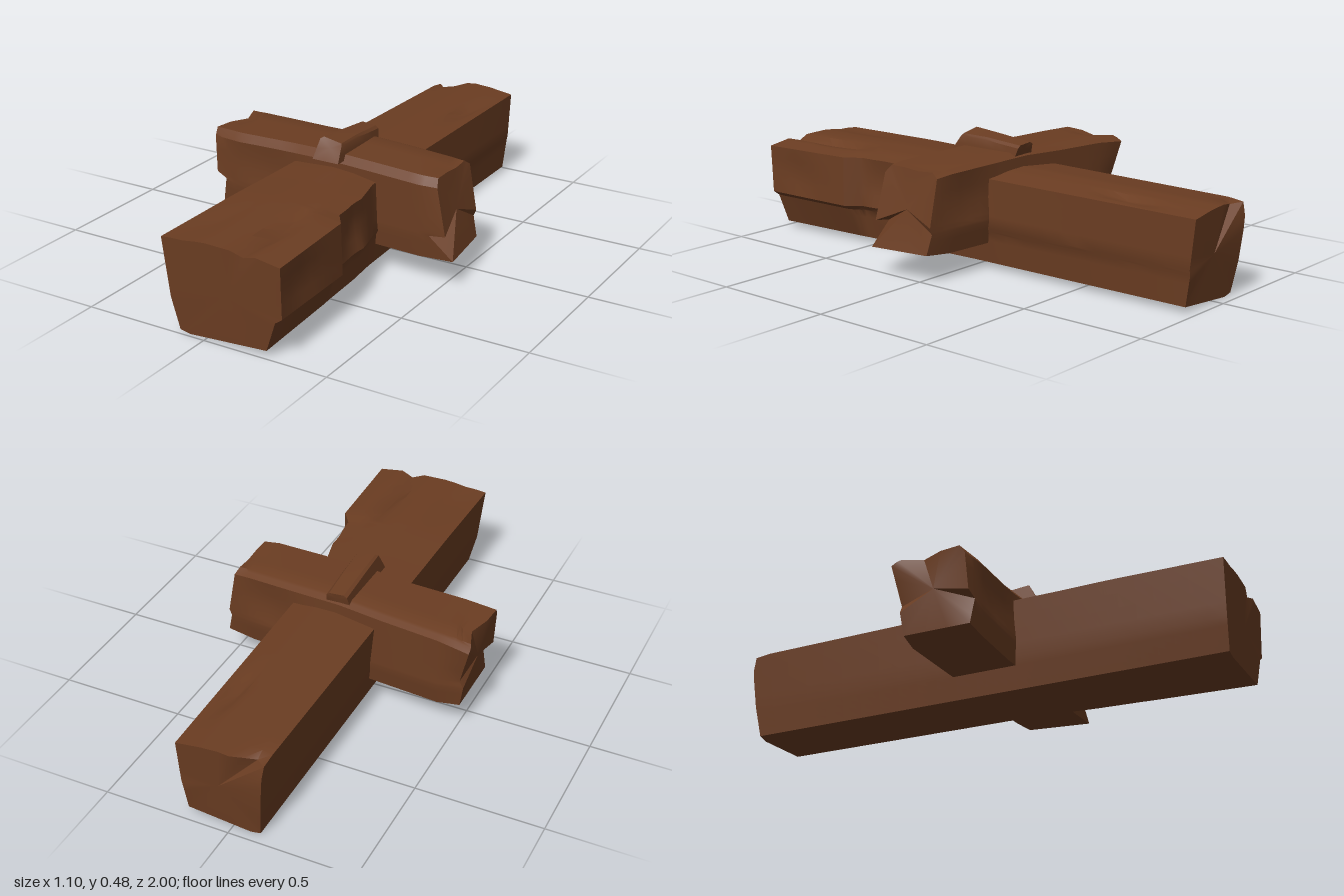
import * as THREE from 'three';
import { toCreasedNormals } from 'three/addons/utils/BufferGeometryUtils.js';

// Skins a list of matching rings (counter-clockwise seen from the far end) and caps both ends.
// Each dent is [centre, radii, push] and bends nearby vertices.
function hewnBlock(rings, edgeCuts, lengthCuts, dents = []) {
  const lerp = (a, b, t) => a.map((v, i) => v + (b[i] - v) * t);
  const fine = rings.map(r => r.flatMap((p, i) =>
    Array.from({ length: edgeCuts }, (_, k) => lerp(p, r[(i + 1) % r.length], k / edgeCuts))));
  const loops = [];
  for (let s = 0; s < fine.length - 1; s++) {
    for (let k = 0; k < lengthCuts; k++) {
      loops.push(fine[s].map((p, i) => lerp(p, fine[s + 1][i], k / lengthCuts)));
    }
  }
  loops.push(fine[fine.length - 1]);
  const n = fine[0].length, last = loops.length - 1;
  const centre = loop => [0, 1, 2].map(a => loop.reduce((sum, p) => sum + p[a], 0) / n);
  const points = [...loops.flat(), centre(loops[0]), centre(loops[last])];
  const bent = points.map(p => {
    const q = [...p];
    for (const [c, r, push] of dents) {
      const d = Math.hypot(...p.map((v, a) => (v - c[a]) / r[a]));
      if (d < 1) push.forEach((v, a) => { q[a] += v * (1 - d); });
    }
    return q;
  });
  const index = [];
  for (let i = 0; i < n; i++) {
    const j = (i + 1) % n;
    for (let s = 0; s < last; s++) {
      const a = s * n, b = a + n;
      index.push(a + i, a + j, b + j, a + i, b + j, b + i);
    }
    index.push(n * (last + 1), j, i, n * (last + 1) + 1, last * n + i, last * n + j);
  }
  const geometry = new THREE.BufferGeometry();
  geometry.setAttribute('position', new THREE.Float32BufferAttribute(bent.flat(), 3));
  geometry.setIndex(index);
  return toCreasedNormals(geometry, 0.55);
}

export function createModel() {
  const model = new THREE.Group();
  const wood = new THREE.MeshStandardMaterial({ color: 0x6b3d22 });
  wood.name = 'brown wood';
  const add = (name, geometry) => {
    const mesh = new THREE.Mesh(geometry, wood);
    mesh.name = name;
    model.add(mesh);
  };

  // Long beam: [z at the bottom, z at the top, right bottom, right ledge, right top, top height]
  const stations = [
    [-0.96, -1, 0.18, 0.19, 0.19, 0.352],
    [-0.5, -0.5, 0.185, 0.2, 0.197, 0.356],
    [0, 0, 0.19, 0.21, 0.205, 0.36],
    [0.22, 0.22, 0.2, 0.225, 0.215, 0.362],
    [0.36, 0.36, 0.215, 0.26, 0.25, 0.362],
    [0.53, 0.53, 0.225, 0.265, 0.262, 0.364],
    [0.59, 0.59, 0.23, 0.312, 0.305, 0.364],
    [0.985, 1, 0.252, 0.322, 0.323, 0.36],
  ];
  const longRings = stations.map(([zb, zt, xb, xl, xt, y]) => {
    const t = (zt + 1) / 2, zm = (zb + zt) / 2;
    return [
      [-0.11, 0.008, zb], [-0.07, 0.0, zb], [xb, 0.022, zb],
      [xb + (xl - xb) * 0.6, 0.14, zm], [xl, 0.16, zm],
      [xt, y - 0.008, zt], [xt - 0.1, y + 0.007, zt], [0.02, y + 0.012, zt],
      [-0.145 - 0.02 * t, y - 0.004, zt], [-0.125 - 0.015 * t, 0.13, zm],
    ];
  });
  add('longBeam', hewnBlock(longRings, 4, 6, [
    [[-0.1, 0.36, -1], [0.07, 0.09, 0.09], [0, -0.02, 0.06]],      // broken back corner
    [[0.13, 0.36, -0.68], [0.04, 0.08, 0.16], [0, -0.025, 0]],     // splits in the top
    [[0.17, 0.37, 0.8], [0.05, 0.1, 0.28], [0, -0.035, 0]],
    [[-0.08, 0.37, 0.85], [0.05, 0.1, 0.2], [0, -0.012, 0]],
    [[0.155, 0.36, 1], [0.03, 0.06, 0.1], [0, -0.02, -0.02]],
    [[0.23, 0.25, 0.42], [0.08, 0.13, 0.12], [-0.03, 0, 0]],       // hollow beside the ledge
    [[0.32, 0.25, 0.85], [0.06, 0.08, 0.15], [-0.012, 0, 0]],
  ]));

  // Cross beam with a split at each end
  const crossMiddle = (x, top, back, front) => [
    [x, 0.1, front - 0.01], [x, 0.1, back + 0.015], [x, 0.19, back], [x, 0.22, back],
    [x, top - 0.015, back], [x, top, back + 0.035], [x, top, front - 0.025],
    [x, top - 0.03, front], [x, 0.22, front], [x, 0.19, front],
  ];
  add('crossBeam', hewnBlock([
    [[-0.51, 0.11, 0.155], [-0.51, 0.11, -0.11], [-0.525, 0.2, -0.12], [-0.51, 0.23, -0.12],
      [-0.55, 0.385, -0.147], [-0.55, 0.408, -0.11], [-0.55, 0.41, 0.13],
      [-0.546, 0.38, 0.15], [-0.535, 0.235, 0.16], [-0.49, 0.215, 0.165]],
    crossMiddle(-0.42, 0.412, -0.133, 0.168),
    crossMiddle(-0.18, 0.418, -0.115, 0.17),
    crossMiddle(0, 0.426, -0.1, 0.185),
    crossMiddle(0.2, 0.422, -0.088, 0.195),
    crossMiddle(0.4, 0.417, -0.073, 0.205),
    [[0.545, 0.11, 0.2], [0.515, 0.112, -0.05], [0.495, 0.19, -0.06], [0.505, 0.215, -0.06],
      [0.47, 0.395, -0.065], [0.462, 0.414, -0.035], [0.462, 0.414, 0.17],
      [0.472, 0.385, 0.195], [0.515, 0.205, 0.208], [0.445, 0.195, 0.205]],
  ], 3, 4, [
    [[-0.53, 0.4, -0.03], [0.07, 0.1, 0.1], [0.05, -0.01, 0]],     // splintered right end
    [[0.44, 0.42, 0.06], [0.1, 0.05, 0.04], [0, -0.02, 0]],        // split in the top
    [[-0.3, 0.3, 0.17], [0.2, 0.1, 0.05], [0, 0, -0.012]],         // worn front face
    [[0.3, 0.3, -0.08], [0.18, 0.1, 0.05], [0, 0, 0.015]],         // worn back face
  ]));

  // Tapered peg lying across the joint
  add('peg', hewnBlock([
    [[-0.042, 0.4, -0.085], [0.06, 0.4, -0.085], [0.052, 0.445, -0.1],
      [0.04, 0.455, -0.1], [-0.02, 0.46, -0.1], [-0.034, 0.452, -0.1]],
    [[-0.044, 0.4, 0.06], [0.064, 0.4, 0.06], [0.055, 0.458, 0.06],
      [0.047, 0.468, 0.06], [-0.022, 0.475, 0.06], [-0.034, 0.468, 0.06]],
    [[-0.046, 0.405, 0.222], [0.066, 0.405, 0.222], [0.058, 0.46, 0.185],
      [0.052, 0.47, 0.175], [-0.024, 0.484, 0.175], [-0.034, 0.478, 0.185]],
  ], 2, 3));

  return model;
}
